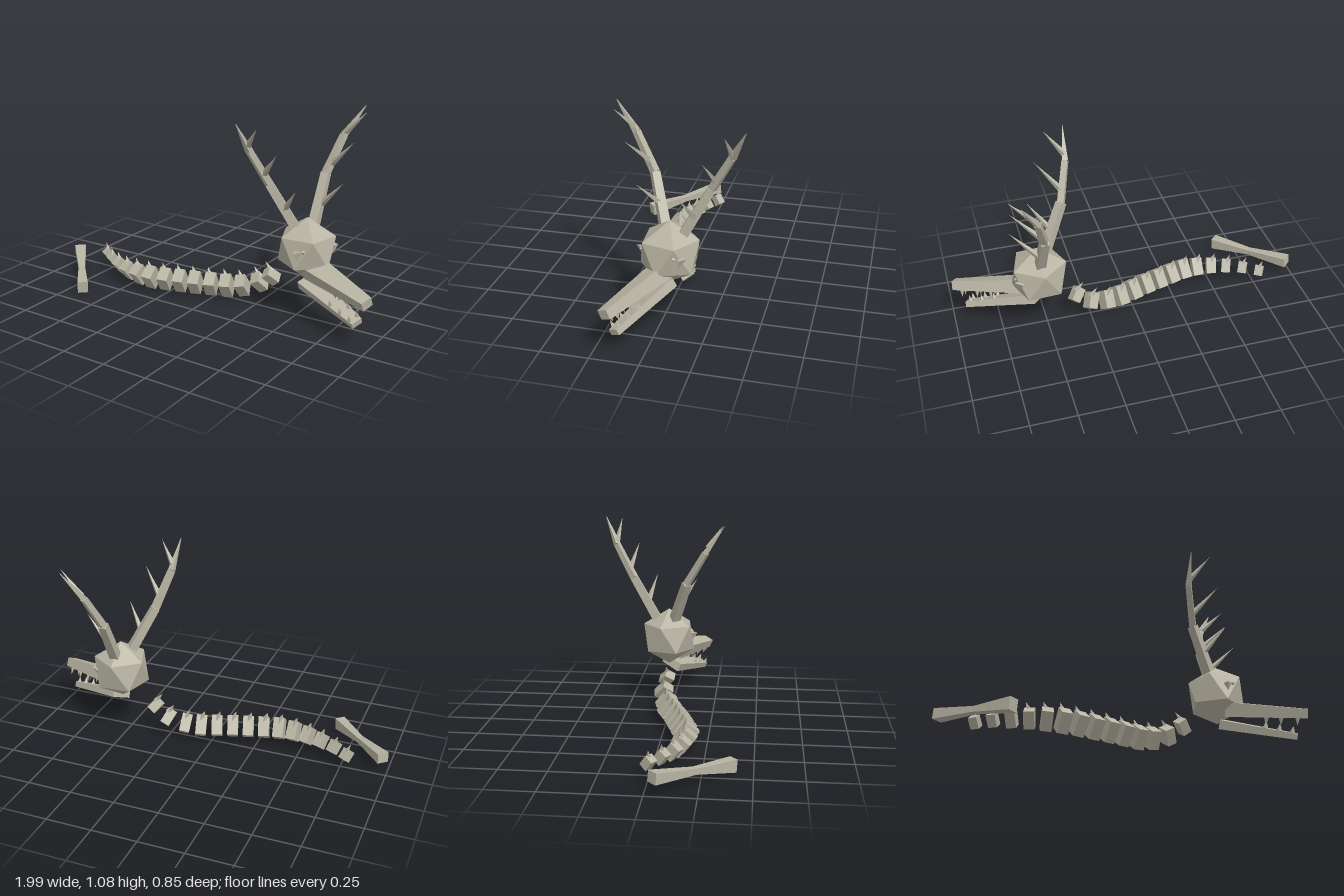
import * as THREE from 'three';

const V = (p) => new THREE.Vector3(...p);
const bone = new THREE.MeshStandardMaterial({ color: 0xb8b4a3, flatShading: true });
bone.name = 'bone';

function add(parent, name, geometry) {
  const mesh = new THREE.Mesh(geometry, bone);
  mesh.name = name;
  parent.add(mesh);
  return mesh;
}

// Four-sided beam from a to b; the section goes from w0 x h0 to w1 x h1
function beam(parent, name, a, b, [w0, h0], [w1, h1], roll = 0) {
  const A = V(a), B = V(b), length = A.distanceTo(B);
  const geo = new THREE.BoxGeometry(1, 1, length);
  const p = geo.attributes.position;
  for (let i = 0; i < p.count; i++) {
    const end = p.getZ(i) > 0;
    p.setXY(i, p.getX(i) * (end ? w1 : w0), p.getY(i) * (end ? h1 : h0));
  }
  geo.computeVertexNormals();
  const mesh = add(parent, name, geo);
  mesh.position.copy(A).lerp(B, 0.5);
  mesh.lookAt(B);
  mesh.rotateZ(roll);
  mesh.userData.length = length;
  return mesh;
}

// Pointed cone from a base point to a tip
function spike(parent, name, a, b, radius, sides = 4) {
  const A = V(a), B = V(b), d = B.clone().sub(A);
  const mesh = add(parent, name, new THREE.ConeGeometry(radius, d.length(), sides));
  mesh.position.copy(A).lerp(B, 0.5);
  mesh.quaternion.setFromUnitVectors(new THREE.Vector3(0, 1, 0), d.normalize());
  return mesh;
}

// Jaw with two rows of teeth; dir is the side the teeth point to
function jaw(parent, name, a, b, s0, s1, dir, spots, toothLength) {
  const mesh = beam(parent, name, a, b, s0, s1, 0.4);
  const lerp = THREE.MathUtils.lerp;
  for (const t of spots) for (const side of [-1, 1]) {
    const x = side * lerp(s0[0], s1[0], t) * 0.36;
    const y = dir * lerp(s0[1], s1[1], t) * 0.48;
    const z = (t - 0.5) * mesh.userData.length;
    spike(mesh, 'tooth', [x, y, z], [x, y + dir * toothLength, z], 0.013);
  }
}

function antler(parent, name, pts, tines) {
  const group = new THREE.Group();
  group.name = name;
  parent.add(group);
  const widths = [[0.05, 0.043], [0.036, 0.031], [0.031, 0.003]];
  widths.forEach(([w0, w1], i) =>
    beam(group, 'antlerSegment', pts[i], pts[i + 1], [w0, w0], [w1, w1]));
  for (const [a, b] of tines) spike(group, 'antlerTine', a, b, 0.018);
}

export function createModel() {
  const model = new THREE.Group();
  model.name = 'skeleton';

  // Skull: an icosahedron standing on a corner
  const head = new THREE.Group();
  head.name = 'head';
  model.add(head);
  const skullGeo = new THREE.IcosahedronGeometry(0.169, 0);
  skullGeo.rotateZ(Math.atan(2 / (1 + Math.sqrt(5))));
  skullGeo.rotateY(-0.255);
  add(head, 'skull', skullGeo).position.set(0.535, 0.384, -0.033);

  // Eyes, mirrored about the turned axis of the head
  const face = new THREE.Group();
  face.name = 'eyes';
  face.position.set(0.535, 0.384, -0.033);
  face.rotation.y = -0.42;
  head.add(face);
  for (const s of [-1, 1]) {
    spike(face, 'eyeSocket', [0.071, 0.022, s * 0.122], [0.074, -0.03, s * 0.115], 0.03, 3);
    add(face, 'pupil', new THREE.OctahedronGeometry(0.013)).position.set(0.099, 0.025, s * 0.1);
  }

  // Jaws
  jaw(head, 'upperJaw', [0.58, 0.297, -0.005], [0.98, 0.245, 0.172],
    [0.125, 0.08], [0.062, 0.05], -1, [0.5, 0.68, 0.88], 0.042);
  jaw(head, 'lowerJaw', [0.55, 0.212, -0.02], [0.92, 0.117, 0.145],
    [0.12, 0.05], [0.06, 0.032], 1, [0.58, 0.76, 0.93], 0.035);

  // Antlers with three tines each
  antler(head, 'rightAntler',
    [[0.535, 0.49, -0.105], [0.527, 0.74, -0.243], [0.572, 0.93, -0.35], [0.657, 1.085, -0.427]],
    [[[0.55, 0.595, -0.16], [0.69, 0.738, -0.118]],
      [[0.545, 0.785, -0.27], [0.69, 0.93, -0.23]],
      [[0.58, 0.945, -0.352], [0.71, 1.075, -0.337]]]);
  antler(head, 'leftAntler',
    [[0.49, 0.49, 0.002], [0.37, 0.735, 0.085], [0.315, 0.925, 0.195], [0.3, 1.08, 0.3]],
    [[[0.445, 0.605, 0.045], [0.55, 0.735, 0.133]],
      [[0.36, 0.795, 0.12], [0.48, 0.928, 0.21]],
      [[0.315, 0.955, 0.21], [0.41, 1.067, 0.285]]]);

  // Spine: rolled blocks along a curve, each [x, y, z, scale, pitch]
  const spine = new THREE.Group();
  spine.name = 'spine';
  model.add(spine);
  const blocks = [
    [0.33, 0.18, -0.025, 0.72, 0.65], [0.25, 0.125, -0.035, 0.82, 0.5],
    [0.155, 0.09, -0.01, 0.92, 0.2], [0.07, 0.08, 0.015, 1, 0.08],
    [-0.015, 0.08, 0.045, 1, 0], [-0.1, 0.08, 0.075, 1, 0],
    [-0.185, 0.08, 0.1, 1, 0], [-0.27, 0.08, 0.125, 1, -0.05],
    [-0.355, 0.08, 0.145, 1, -0.05], [-0.44, 0.08, 0.145, 0.93, -0.05],
    [-0.525, 0.08, 0.13, 0.83, 0], [-0.61, 0.082, 0.1, 0.72, 0],
    [-0.697, 0.085, 0.055, 0.6, 0], [-0.78, 0.085, 0, 0.55, 0],
  ];
  blocks.forEach(([x, y, z, s, pitch], i) => {
    const a = blocks[Math.max(i - 1, 0)], b = blocks[Math.min(i + 1, blocks.length - 1)];
    const length = 0.06 * (0.5 + s / 2);
    const block = add(spine, 'vertebra', new THREE.BoxGeometry(length, 0.112 * s, 0.085 * s));
    block.position.set(x, y, z);
    block.rotation.set(0.66, -Math.atan2(a[2] - b[2], a[0] - b[0]), pitch, 'YZX');
    const lean = 0.02 + 0.03 * Math.max(pitch, 0);
    spike(spine, 'vertebraSpine', [x, y + 0.04 * s, z],
      [x - lean, y + 0.035 + 0.062 * s, z], 0.02 * s + 0.003);
  });

  // Loose limb bone with a narrow waist
  const limb = new THREE.Group();
  limb.name = 'looseBone';
  model.add(limb);
  const waist = [-0.805, 0.062, 0.222];
  beam(limb, 'boneHalf', [-0.972, 0.087, 0.038], waist, [0.064, 0.056], [0.036, 0.03]);
  beam(limb, 'boneHalf', waist, [-0.645, 0.038, 0.4], [0.036, 0.03], [0.058, 0.066]);

  return model;
}
